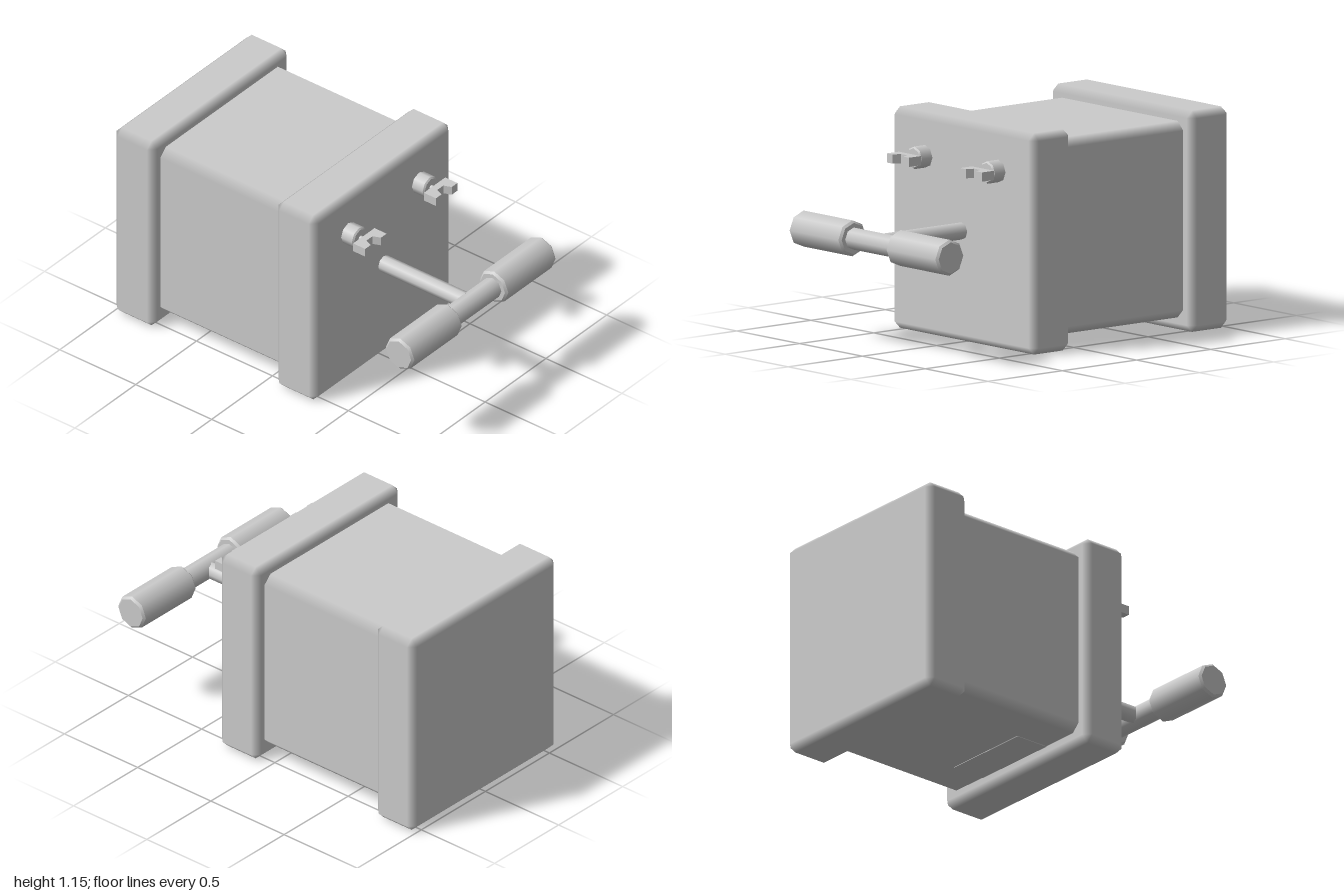
import * as THREE from 'three';
import { ConvexGeometry } from 'three/addons/geometries/ConvexGeometry.js';

const material = new THREE.MeshStandardMaterial({ color: 0xcccccc });

function add(parent, name, geometry, x = 0, y = 0, z = 0) {
  const mesh = new THREE.Mesh(geometry, material);
  mesh.name = name;
  mesh.position.set(x, y, z);
  parent.add(mesh);
  return mesh;
}

// Box with single-step bevels; normals lean from face to face across each bevel
function bevelBox(w, h, d, c) {
  const half = [w / 2, h / 2, d / 2];
  const points = [];
  for (let axis = 0; axis < 3; axis++) {
    for (const sx of [-1, 1]) for (const sy of [-1, 1]) for (const sz of [-1, 1]) {
      const s = [sx, sy, sz];
      points.push(new THREE.Vector3(...half.map((v, i) => s[i] * (i === axis ? v : v - c))));
    }
  }
  const geometry = new ConvexGeometry(points);
  const pos = geometry.attributes.position;
  for (let i = 0; i < pos.count; i++) {
    const p = [pos.getX(i), pos.getY(i), pos.getZ(i)];
    const n = p.map((v, k) => (Math.abs(v) > half[k] - c / 2 ? Math.sign(v) : 0));
    geometry.attributes.normal.setXYZ(i, ...n);
  }
  return geometry;
}

// Eight-sided rod with beveled rims and flat ends, along x or z
function rod(radius, length, axis, bevel = 0) {
  const h = length / 2;
  const rim = radius - bevel;
  const profile = [[0, -h], [rim, -h], [rim, -h]];
  if (bevel) profile.push([radius, -h + bevel], [radius, -h + bevel], [radius, h - bevel], [radius, h - bevel]);
  profile.push([rim, h], [rim, h], [0, h]);
  const geometry = new THREE.LatheGeometry(profile.map(([x, y]) => new THREE.Vector2(x, y)), 8);
  return axis === 'x' ? geometry.rotateZ(-Math.PI / 2) : geometry.rotateX(Math.PI / 2);
}

// Notched wing plate, lying flat with its notch toward +z
function wingPlate() {
  const outline = [
    [-0.088, 0], [0.088, 0], [0.088, 0.08], [0.042, 0.08],
    [0.025, 0.038], [-0.025, 0.038], [-0.042, 0.08], [-0.088, 0.08],
  ];
  const shape = new THREE.Shape(outline.map(([x, y]) => new THREE.Vector2(x, y)));
  return new THREE.ExtrudeGeometry(shape, { depth: 0.048, bevelEnabled: false })
    .translate(0, 0, -0.024).rotateX(Math.PI / 2);
}

export function createModel() {
  const model = new THREE.Group();
  model.name = 'plungerBox';

  // Box body between two larger end caps
  add(model, 'body', bevelBox(1.01, 1.025, 0.98, 0.045), 0, 0.5825, -0.335);
  add(model, 'frontCap', bevelBox(1.14, 1.155, 0.267, 0.037), 0, 0.5775, 0.1985);
  add(model, 'backCap', bevelBox(1.14, 1.155, 0.267, 0.037), 0, 0.5775, -0.8665);
  add(model, 'undersidePlate', new THREE.BoxGeometry(0.5, 0.02, 0.22), 0, 0.077, -0.02);

  // T-shaped handle
  const handle = new THREE.Group();
  handle.name = 'handle';
  handle.position.y = 0.579;
  model.add(handle);
  add(handle, 'shaft', rod(0.045, 0.57, 'z'), 0, 0, 0.585);
  add(handle, 'crossbar', rod(0.058, 0.4, 'x'), 0, 0, 0.905);

  for (const side of [-1, 1]) {
    const label = side > 0 ? 'left' : 'right';
    add(handle, label + 'Grip', rod(0.094, 0.412, 'x', 0.012), side * 0.386, 0, 0.905);

    // Terminal post with its wing nut
    const terminal = new THREE.Group();
    terminal.name = label + 'Terminal';
    terminal.position.set(side * 0.291, 0.93, 0);
    model.add(terminal);
    add(terminal, 'post', rod(0.059, 0.09, 'z', 0.008), 0, 0, 0.366);
    add(terminal, 'stem', rod(0.014, 0.05, 'z'), 0, 0, 0.425);
    add(terminal, 'wingNut', wingPlate(), 0, 0, 0.434);
  }
  return model;
}
